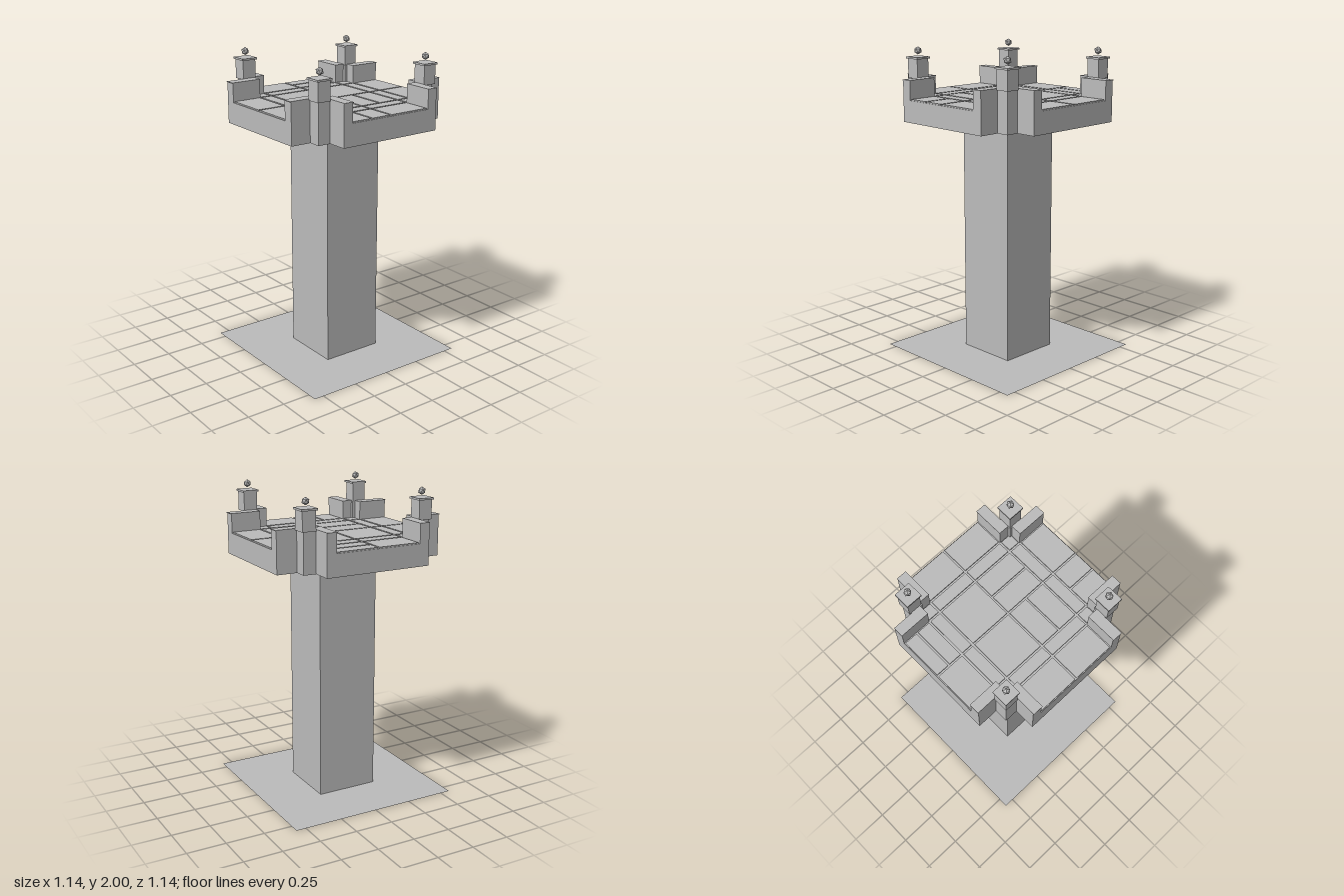
import * as THREE from 'three';

export function createModel() {
  const model = new THREE.Group();
  model.name = 'watchtower';
  const stone = new THREE.MeshStandardMaterial({ color: 0xbbbbbb });
  stone.name = 'grey stone';
  const groundStone = new THREE.MeshStandardMaterial({ color: 0xbbbbbb, side: THREE.DoubleSide });
  groundStone.name = 'grey ground';

  const add = (name, geometry, material = stone) => {
    const mesh = new THREE.Mesh(geometry, material);
    mesh.name = name;
    model.add(mesh);
    return mesh;
  };
  // Box given by its limits along each axis
  const box = (name, x0, x1, y0, y1, z0, z1) =>
    add(name, new THREE.BoxGeometry(Math.abs(x1 - x0), y1 - y0, Math.abs(z1 - z0)))
      .position.set((x0 + x1) / 2, (y0 + y1) / 2, (z0 + z1) / 2);

  const EDGE = 0.565, ARM = 0.35, CORNER = 0.433;
  const BOTTOM = 1.547, FLOOR = 1.687, TILE_TOP = 1.695, WALL_TOP = 1.812;

  // Ground sheet and column
  add('ground', new THREE.PlaneGeometry(EDGE * 2, EDGE * 2).rotateX(-Math.PI / 2), groundStone);
  box('column', -0.2, 0.2, 0.001, BOTTOM, -0.2, 0.2);

  // Cross-shaped platform with stepped corners
  const quarter = [[EDGE, ARM], [CORNER, ARM], [CORNER, CORNER], [ARM, CORNER], [ARM, EDGE]];
  const outline = [];
  for (let i = 0; i < 4; i++) {
    const c = [1, 0, -1, 0][i], s = [0, 1, 0, -1][i];
    for (const [x, y] of quarter) outline.push(new THREE.Vector2(x * c - y * s, x * s + y * c));
  }
  const slab = new THREE.ExtrudeGeometry(new THREE.Shape(outline), { depth: FLOOR - BOTTOM, bevelEnabled: false });
  add('platform', slab.rotateX(-Math.PI / 2)).position.y = BOTTOM;

  // Floor tiles: rows and columns share the same bands
  const half = [[0.006, 0.277], [0.29, 0.363], [0.376, 0.56]];
  const bands = [...half.map(([a, b]) => [-b, -a]).reverse(), ...half];
  const splits = { '3,0': 'z', '2,3': 'z', '3,3': 'x', '2,5': 'x' };
  const tile = (x, z) => box('floorTile', x[0], x[1], FLOOR - 0.002, TILE_TOP, z[0], z[1]);
  const cut = ([a, b]) => [[a, (a + b) / 2 - 0.006], [(a + b) / 2 + 0.006, b]];
  bands.forEach((x, i) => bands.forEach((z, j) => {
    const outerX = i === 0 || i === 5, outerZ = j === 0 || j === 5;
    if ((outerX && j !== 2 && j !== 3) || (outerZ && i !== 2 && i !== 3)) return;
    const split = splits[`${i},${j}`];
    if (split === 'x') cut(x).forEach((part) => tile(part, z));
    else if (split === 'z') cut(z).forEach((part) => tile(x, part));
    else tile(x, z);
  }));

  // Corner walls, posts, caps and finials
  const tilt = Math.atan(2 / (1 + Math.sqrt(5)));
  const ball = new THREE.IcosahedronGeometry(0.025, 0).rotateZ(-tilt);
  for (const sx of [-1, 1]) for (const sz of [-1, 1]) {
    const corner = (name, x0, x1, y0, y1, z0, z1) =>
      box(name, sx * x0, sx * x1, y0, y1, sz * z0, sz * z1);
    corner('sideWall', 0.368, EDGE, FLOOR, WALL_TOP - 0.005, 0.285, ARM);
    corner('endWall', 0.285, ARM, FLOOR, WALL_TOP - 0.005, 0.368, EDGE);
    corner('sideWallCoping', 0.368, 0.57, WALL_TOP - 0.005, WALL_TOP, 0.283, ARM);
    corner('endWallCoping', 0.283, ARM, WALL_TOP - 0.005, WALL_TOP, 0.368, 0.568);
    corner('postBase', ARM, CORNER, FLOOR, 1.805, ARM, CORNER);
    corner('post', 0.355, 0.445, 1.803, 1.925, 0.355, 0.445);
    corner('postCap', 0.347, 0.453, 1.925, 1.937, 0.347, 0.453);
    add('finial', ball).position.set(sx * 0.4, 1.975, sz * 0.4);
  }
  return model;
}
